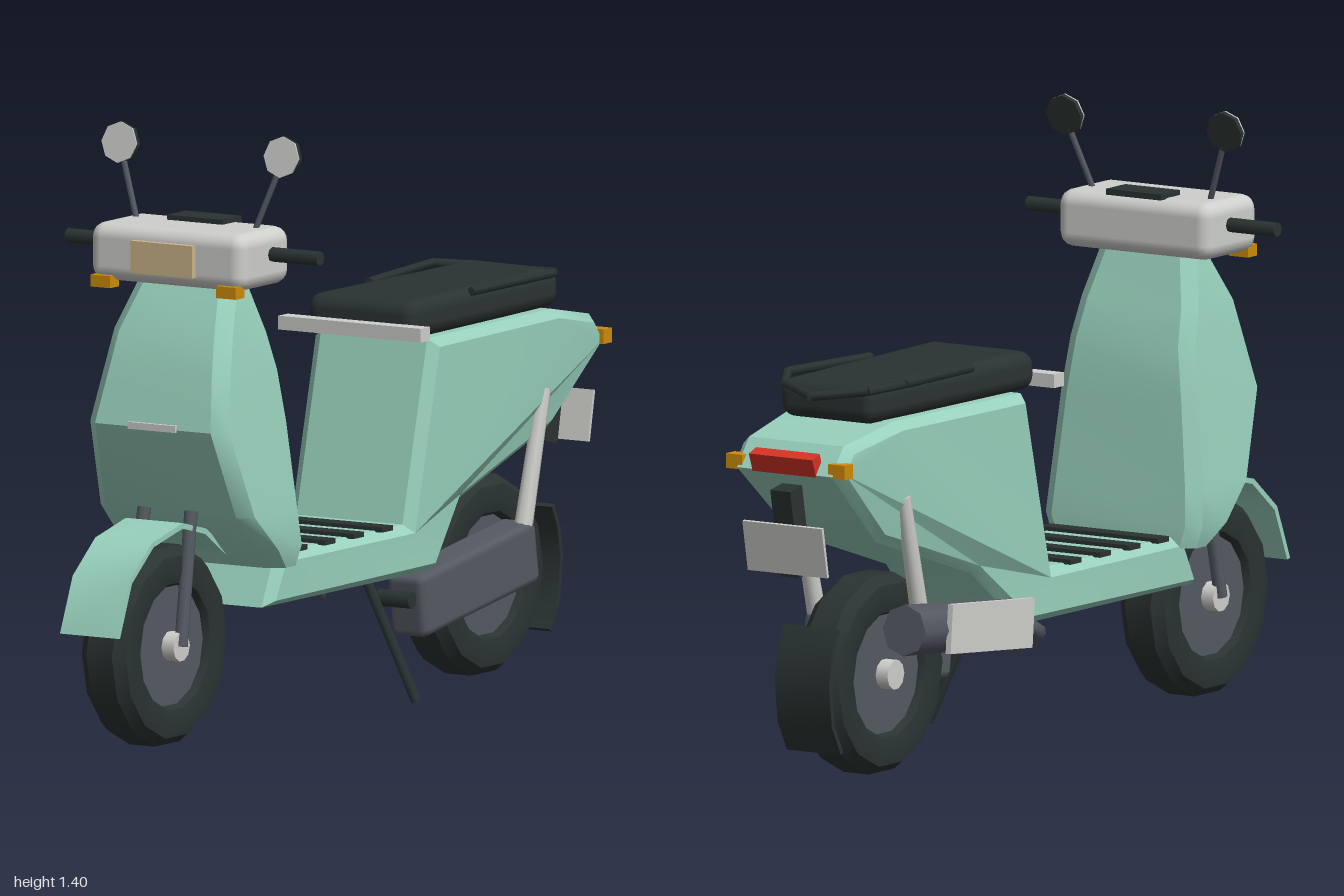
import * as THREE from 'three';
import { toCreasedNormals } from 'three/addons/utils/BufferGeometryUtils.js';
import { RoundedBoxGeometry } from 'three/addons/geometries/RoundedBoxGeometry.js';

const material = (name, color) => {
  const m = new THREE.MeshStandardMaterial({ color });
  m.name = name;
  return m;
};

export function createModel() {
  const model = new THREE.Group();
  model.name = 'scooter';
  const mint = material('mint paint', 0x98d0bc);
  const black = material('black rubber', 0x2a3332);
  const darkGrey = material('dark grey metal', 0x555a63);
  const lightGrey = material('light grey metal', 0xcfcfcc);
  const amber = material('amber lens', 0xcf8c0a);
  const red = material('red lens', 0xd63324);
  const beige = material('headlight glass', 0xcdb78e);

  const add = (name, geo, mat, pos = [0, 0, 0], rotX = 0, parent = model) => {
    const mesh = new THREE.Mesh(geo, mat);
    mesh.name = name;
    mesh.position.set(...pos);
    mesh.rotation.x = rotX;
    parent.add(mesh);
    return mesh;
  };
  const box = (name, mat, size, pos, rotX = 0, parent = model) =>
    add(name, new THREE.BoxGeometry(...size), mat, pos, rotX, parent);
  // Cylinder between two points
  const rod = (name, mat, a, b, rA, rB = rA, sides = 8) => {
    const p = new THREE.Vector3(...a), q = new THREE.Vector3(...b);
    const dir = q.clone().sub(p);
    const mesh = add(name, new THREE.CylinderGeometry(rB, rA, dir.length(), sides), mat);
    mesh.position.copy(p).add(q).multiplyScalar(0.5);
    mesh.quaternion.setFromUnitVectors(new THREE.Vector3(0, 1, 0), dir.normalize());
    return mesh;
  };
  // Side outline of [z, y] points extruded across x
  const sideExtrude = (points, width, bevel = 0) => {
    const shape = new THREE.Shape(points.map(([z, y]) => new THREE.Vector2(z, y)));
    const depth = width - 2 * bevel;
    return new THREE.ExtrudeGeometry(shape, {
      depth, bevelEnabled: bevel > 0, bevelThickness: bevel,
      bevelSize: bevel * 0.8, bevelOffset: -bevel * 0.8, bevelSegments: 1,
    }).translate(0, 0, -depth / 2).rotateY(-Math.PI / 2);
  };
  // Thin bent sheet: a path and the same path pulled towards a centre
  const sheet = (path, width, thickness, [cz, cy]) => {
    const inner = path.map(([z, y]) => {
      const d = Math.hypot(z - cz, y - cy), k = (d - thickness) / d;
      return [cz + (z - cz) * k, cy + (y - cy) * k];
    });
    return toCreasedNormals(sideExtrude([...path, ...inner.reverse()], width), 0.7);
  };

  // Wheels
  const tyreProfile = [[0.14, -0.04], [0.15, -0.058], [0.18, -0.065], [0.215, -0.06], [0.235, -0.035],
    [0.235, 0.035], [0.215, 0.06], [0.18, 0.065], [0.15, 0.058], [0.14, 0.04]]
    .map(([r, x]) => new THREE.Vector2(r, x));
  for (const [name, z] of [['frontWheel', 0.72], ['rearWheel', -0.625]]) {
    const wheel = new THREE.Group();
    wheel.name = name;
    wheel.position.set(0, 0.237, z);
    wheel.rotation.z = Math.PI / 2;
    add('tyre', toCreasedNormals(new THREE.LatheGeometry(tyreProfile, 14), 0.55), black, [0, 0, 0], 0, wheel);
    add('rim', new THREE.CylinderGeometry(0.145, 0.145, 0.084, 14), darkGrey, [0, 0, 0], 0, wheel);
    add('hub', new THREE.CylinderGeometry(0.035, 0.035, 0.15, 10), lightGrey, [0, 0, 0], 0, wheel);
    model.add(wheel);
  }

  // Front mudguard and rear flap
  add('frontFender', sheet([[1.0, 0.29], [0.946, 0.418], [0.85, 0.495], [0.72, 0.525], [0.62, 0.5], [0.53, 0.44]],
    0.156, 0.013, [0.72, 0.24]), mint);
  add('rearMudFlap', sheet([[-0.865, 0.375], [-0.89, 0.32], [-0.902, 0.25], [-0.89, 0.15], [-0.852, 0.08]],
    0.15, 0.012, [-0.625, 0.235]), black);

  // Leg shield: chamfered cross-sections stacked upwards [y, halfWidth, frontZ, backZ]
  const levels = [[0.40, 0.20, 0.50, 0.405], [0.45, 0.217, 0.56, 0.405], [0.535, 0.211, 0.65, 0.415],
    [0.74, 0.19, 0.727, 0.43], [0.86, 0.173, 0.695, 0.442], [0.95, 0.162, 0.668, 0.472], [1.07, 0.132, 0.60, 0.51]];
  const verts = [], faces = [];
  levels.forEach(([y, w, f, b], i) => {
    const e = w - 0.032;
    [[-e, f], [e, f], [w, f - 0.03], [w, b + 0.025], [e, b], [-e, b], [-w, b + 0.025], [-w, f - 0.03]]
      .forEach(([x, z]) => verts.push(x, y, z));
    for (let j = 0; j < 8 && i < levels.length - 1; j++) {
      const a = i * 8 + j, c = i * 8 + (j + 1) % 8;
      faces.push(a, c, a + 8, c + 8, a + 8, c);
    }
  });
  const top = (levels.length - 1) * 8;
  for (let j = 1; j < 7; j++) faces.push(0, j + 1, j, top, top + j, top + j + 1);
  const shield = new THREE.BufferGeometry();
  shield.setAttribute('position', new THREE.Float32BufferAttribute(verts, 3));
  shield.setIndex(faces);
  add('legShield', toCreasedNormals(shield, 0.6), mint);
  box('shieldTrim', lightGrey, [0.13, 0.016, 0.012], [0, 0.743, 0.728]);

  // Floor and tail in one shell, the tail drawn in below and behind
  const body = sideExtrude([[0.49, 0.305], [0.435, 0.425], [-0.11, 0.425], [-0.215, 0.845], [-0.74, 0.85],
    [-0.925, 0.815], [-0.975, 0.75], [-0.77, 0.57], [-0.38, 0.445], [-0.22, 0.305]], 0.34, 0.025);
  const bp = body.attributes.position;
  for (let i = 0; i < bp.count; i++) {
    const y = bp.getY(i), z = bp.getZ(i);
    if (z < -0.3 && y < 0.65) bp.setX(i, bp.getX(i) * 0.8);
    else if (z < -0.9) bp.setX(i, bp.getX(i) * 0.9);
  }
  add('body', toCreasedNormals(body, 0.5), mint);
  for (const z of [-0.015, 0.107, 0.228, 0.347])
    box('floorStrip', black, [0.33, 0.012, 0.046], [0, 0.428, z]);

  // Seat, trim bar and grab rail
  const seat = new RoundedBoxGeometry(0.3, 0.092, 0.66, 2, 0.035);
  const sp = seat.attributes.position;
  for (let i = 0; i < sp.count; i++) if (sp.getZ(i) < -0.29) sp.setX(i, sp.getX(i) * 0.88);
  add('seat', seat, black, [0, 0.891, -0.478]);
  box('seatTrimBar', lightGrey, [0.39, 0.032, 0.04], [0, 0.868, -0.13]);
  const railHalf = [[0.14, 0.93, -0.41], [0.162, 0.936, -0.72], [0.115, 0.925, -0.8]];
  const rail = [...railHalf, [0, 0.912, -0.865], ...railHalf.map(([x, y, z]) => [-x, y, z]).reverse()];
  for (let i = 1; i < rail.length; i++) rod('grabRail', black, rail[i - 1], rail[i], 0.011, 0.011, 6);

  // Handlebar housing with headlight and display
  add('handlebarHousing', new RoundedBoxGeometry(0.426, 0.135, 0.215, 2, 0.035), lightGrey, [0, 1.13, 0.568]);
  box('headlight', beige, [0.168, 0.075, 0.025], [0, 1.128, 0.678]);
  box('display', black, [0.152, 0.014, 0.08], [0, 1.202, 0.508]);

  // Mirrored pairs
  for (const s of [-1, 1]) {
    rod('grip', black, [s * 0.2, 1.14, 0.55], [s * 0.345, 1.14, 0.55], 0.017);
    rod('mirrorStem', darkGrey, [s * 0.158, 1.18, 0.545], [s * 0.213, 1.33, 0.522], 0.007, 0.007, 6);
    const disc = (h) => new THREE.CylinderGeometry(0.048, 0.048, h, 8).rotateX(Math.PI / 2);
    add('mirrorBack', disc(0.012), black, [s * 0.222, 1.362, 0.516], -0.16);
    add('mirrorGlass', disc(0.004), lightGrey, [s * 0.222, 1.3633, 0.5239], -0.16);
    box('frontIndicator', amber, [0.054, 0.028, 0.038], [s * 0.172, 1.063, 0.664]);
    box('rearIndicator', amber, [0.045, 0.034, 0.036], [s * 0.142, 0.762, -0.953]);
    rod('forkLeg', darkGrey, [s * 0.073, 0.237, 0.72], [s * 0.064, 0.545, 0.663], 0.016);
    rod('shockAbsorber', lightGrey, [s * 0.145, 0.36, -0.625], [s * 0.148, 0.67, -0.705], 0.022, 0.018);
  }

  // Tail light, plate holder and plate
  box('tailLight', red, [0.176, 0.045, 0.032], [0, 0.772, -0.967], -0.35);
  const holder = new THREE.Group();
  holder.name = 'plateHolder';
  holder.position.set(0, 0.61, -0.947);
  holder.rotation.x = -0.19;
  box('plateBracket', black, [0.055, 0.21, 0.05], [0, 0, 0], 0, holder);
  box('plate', lightGrey, [0.22, 0.12, 0.008], [0, -0.035, -0.029], 0, holder);
  model.add(holder);

  // Drive unit on the left
  add('driveCover', new RoundedBoxGeometry(0.1, 0.15, 0.5, 1, 0.02), darkGrey, [0.12, 0.262, -0.41], 0.15);
  rod('drivePivot', black, [0.06, 0.245, -0.145], [0.15, 0.245, -0.145], 0.02);

  // Exhaust on the right
  rod('muffler', darkGrey, [-0.175, 0.325, -0.3], [-0.175, 0.365, -0.74], 0.055, 0.06);
  box('mufflerShield', lightGrey, [0.014, 0.115, 0.34], [-0.234, 0.345, -0.472], 0.09);
  const pipe = new THREE.CatmullRomCurve3([[-0.18, 0.33, -0.32], [-0.18, 0.29, -0.2], [-0.07, 0.24, -0.15]]
    .map((p) => new THREE.Vector3(...p)));
  add('exhaustPipe', new THREE.TubeGeometry(pipe, 6, 0.022, 8), darkGrey);

  // Side stand
  rod('sideStand', black, [0.1, 0.31, -0.022], [0.215, 0.025, -0.06], 0.013, 0.013, 6);

  return model;
}
